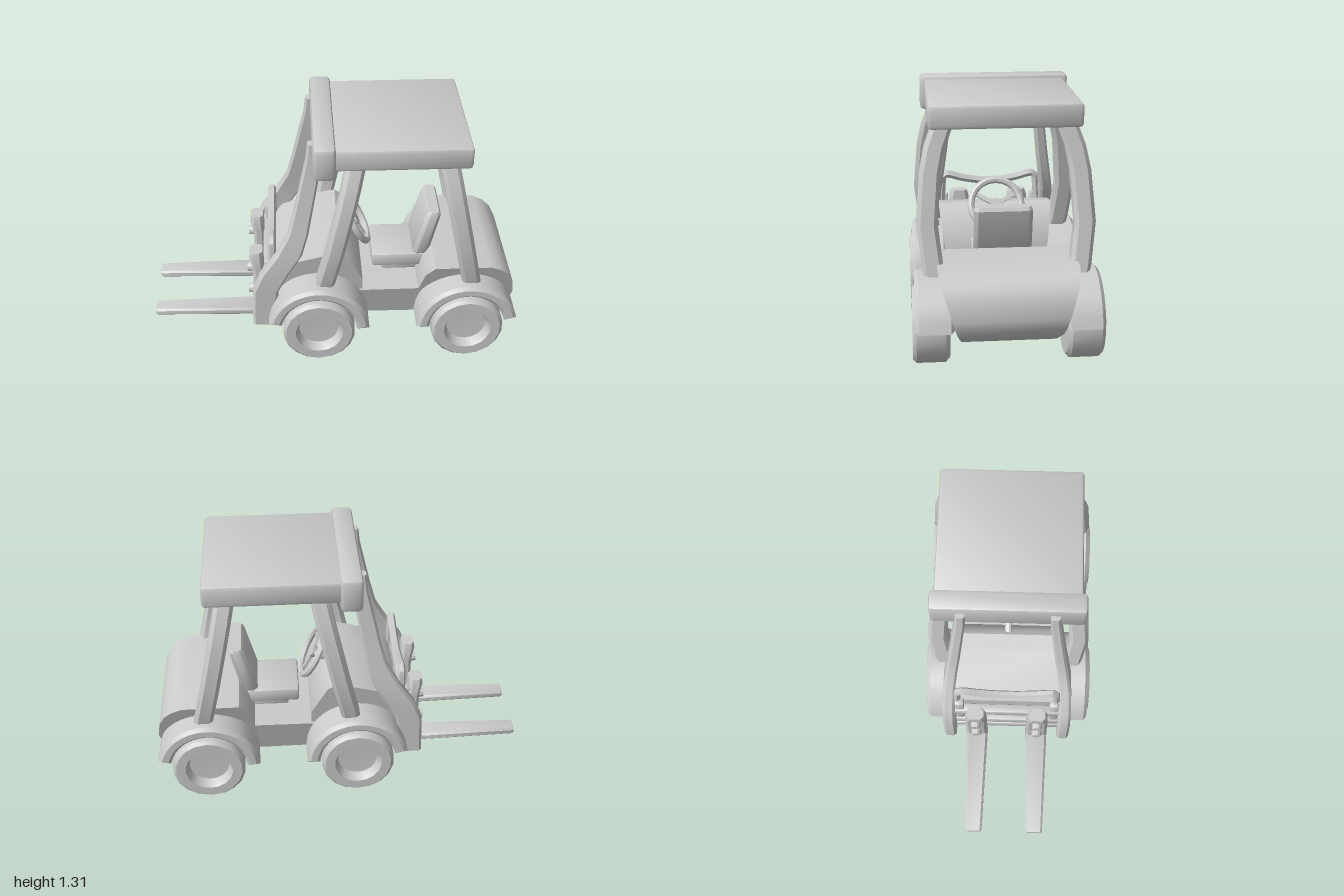
import * as THREE from 'three';
import { toCreasedNormals } from 'three/addons/utils/BufferGeometryUtils.js';
import { RoundedBoxGeometry } from 'three/addons/geometries/RoundedBoxGeometry.js';

const grey = new THREE.MeshStandardMaterial({ color: 0xcccccc });

function part(parent, name, geo, x = 0, y = 0, z = 0) {
  const mesh = new THREE.Mesh(toCreasedNormals(geo, 0.6), grey);
  mesh.name = name;
  mesh.position.set(x, y, z);
  parent.add(mesh);
  return mesh;
}

// Box with chamfered edges, given by its limits
function box(parent, name, x0, x1, y0, y1, z0, z1, bevel = 0.015) {
  const geo = new RoundedBoxGeometry(x1 - x0, y1 - y0, z1 - z0, 1, bevel);
  return part(parent, name, geo, (x0 + x1) / 2, (y0 + y1) / 2, (z0 + z1) / 2);
}

// Bar through sections [x, y, z, a, b]; its chamfered outline lies across the
// 'y' axis (a along x, b along z) or the 'x' axis (a along y, b along z)
function loft(sections, axis = 'y', side = 1, bevel = 0.25) {
  const pos = [], idx = [];
  for (const [x, y, z, a, b] of sections) {
    const c = Math.min(a, b) * bevel, u = a / 2, v = b / 2;
    const ring = [[u, v - c], [u - c, v], [c - u, v], [-u, v - c],
      [-u, c - v], [c - u, -v], [u - c, -v], [u, c - v]];
    for (const [p, q] of ring) {
      pos.push(...(axis === 'y' ? [x + p, y, (z + q) * side] : [x, y + p, (z + q) * side]));
    }
  }
  const flip = (axis === 'x') !== (side < 0);
  const tri = (a, b, c) => (flip ? idx.push(a, c, b) : idx.push(a, b, c));
  const last = (sections.length - 1) * 8;
  for (let k = 0; k < last; k += 8) {
    for (let i = 0; i < 8; i++) {
      const j = (i + 1) % 8;
      tri(k + i, k + 8 + i, k + j);
      tri(k + j, k + 8 + i, k + 8 + j);
    }
  }
  for (let i = 1; i < 7; i++) {
    tri(0, i, i + 1);
    tri(last, last + i + 1, last + i);
  }
  const geo = new THREE.BufferGeometry();
  geo.setAttribute('position', new THREE.Float32BufferAttribute(pos, 3));
  geo.setIndex(idx);
  return geo;
}

// Side profile extruded across z, with half width depending on height
function hull(profile, halfWidth) {
  const shape = new THREE.Shape(profile.map(p => new THREE.Vector2(...p)));
  const geo = new THREE.ExtrudeGeometry(shape, { depth: 2, bevelEnabled: false });
  geo.translate(0, 0, -1);
  const p = geo.attributes.position;
  for (let i = 0; i < p.count; i++) p.setZ(i, p.getZ(i) * halfWidth(p.getY(i)));
  return geo;
}

function wheelGeometry(side) {
  const profile = [[0, 0], [0.175, 0], [0.197, 0.02], [0.197, 0.165], [0.18, 0.183],
    [0.128, 0.183], [0.118, 0.165], [0.108, 0.13], [0, 0.125]];
  const geo = new THREE.LatheGeometry(profile.map(p => new THREE.Vector2(...p)), 18);
  return geo.rotateX(side * Math.PI / 2);
}

// Arched mudguard; a0..a1 are its end angles
function fenderGeometry(a0, a1) {
  const b = 0.018, shape = new THREE.Shape();
  shape.absarc(0, 0, 0.275 - b, a0, a1, false);
  shape.absarc(0, 0, 0.205 + b, a1, a0, true);
  shape.closePath();
  return new THREE.ExtrudeGeometry(shape, {
    depth: 0.19 - 2 * b, bevelSize: b, bevelThickness: b, bevelSegments: 1, curveSegments: 9
  }).translate(0, 0, 0.27 + b - 0.365);
}

export function createModel() {
  const g = new THREE.Group();
  g.name = 'forklift';

  // Body
  part(g, 'floor', hull([[-0.31, 0.155], [0.65, 0.15], [0.65, 0.35], [-0.31, 0.34]],
    y => 0.24 + (y - 0.15) * 0.25));
  part(g, 'rearBody', hull([[0.45, 0.15], [0.86, 0.15], [0.965, 0.22], [0.99, 0.26], [1, 0.31],
    [0.985, 0.4], [0.955, 0.46], [0.91, 0.5], [0.85, 0.525], [0.55, 0.525], [0.5, 0.47],
    [0.47, 0.35]], y => 0.235 + (y - 0.15) * 0.3));
  part(g, 'frontCowl', hull([[-0.33, 0.17], [0.16, 0.3], [0.16, 0.42], [0.07, 0.59], [0.03, 0.615],
    [-0.06, 0.6], [-0.27, 0.54], [-0.32, 0.48]], y => 0.25 + (y - 0.15) * 0.13));

  // Wheels and fenders
  for (const s of [1, -1]) {
    for (const [end, x] of [['front', -0.085], ['rear', 0.725]]) {
      part(g, end + 'Wheel', wheelGeometry(s), x, 0.2, s * 0.29);
      const geo = end === 'front' ? fenderGeometry(0.08, Math.PI - 0.25) : fenderGeometry(0.25, Math.PI - 0.08);
      part(g, end + 'Fender', geo, x, 0.2, s * 0.365);
    }
  }

  // Roof with its front crossbar
  box(g, 'roof', -0.02, 0.7, 1.178, 1.298, -0.378, 0.378, 0.018);
  box(g, 'roofCrossbar', -0.107, 0.007, 1.135, 1.318, -0.4, 0.4, 0.022);

  // Bowed cab posts: [height, centre z]
  const bow = [[0.4, 0.34], [0.5, 0.365], [0.71, 0.39], [0.96, 0.37], [1.08, 0.345], [1.2, 0.3]];
  for (const s of [1, -1]) {
    for (const [name, x0, x1] of [['frontPost', -0.065, 0.115], ['rearPost', 0.755, 0.585]]) {
      const sections = bow.map(([y, z]) => [x0 + (x1 - x0) * (y - 0.4) / 0.8, y, z, 0.1, 0.105]);
      part(g, name, loft(sections, 'y', s, 0.2));
    }
  }

  // Seat
  box(g, 'seatPedestal', 0.28, 0.48, 0.33, 0.42, -0.1, 0.1);
  box(g, 'seatCushion', 0.22, 0.53, 0.4, 0.48, -0.15, 0.15);
  part(g, 'seatBack', loft([[0.487, 0.475, 0, 0.07, 0.28], [0.493, 0.49, 0, 0.09, 0.298],
    [0.553, 0.73, 0, 0.08, 0.298], [0.556, 0.748, 0, 0.055, 0.28]]));

  // Steering wheel, tilted towards the driver
  const steering = new THREE.Group();
  steering.name = 'steeringWheel';
  steering.position.set(0.138, 0.63, 0);
  steering.rotation.set(0, Math.PI / 2, 0);
  const tilt = new THREE.Group();
  tilt.rotation.x = -0.49;
  steering.add(tilt);
  part(tilt, 'steeringRim', new THREE.TorusGeometry(0.138, 0.019, 8, 20));
  for (let i = 0; i < 3; i++) {
    const spoke = part(tilt, 'steeringSpoke', new THREE.BoxGeometry(0.022, 0.13, 0.016).translate(0, 0.068, -0.01));
    spoke.rotation.z = Math.PI + i * Math.PI * 2 / 3;
  }
  part(tilt, 'steeringHub', new THREE.CylinderGeometry(0.035, 0.03, 0.035, 12).rotateX(Math.PI / 2), 0, 0, -0.012);
  part(tilt, 'steeringColumn', new THREE.CylinderGeometry(0.022, 0.022, 0.2, 10).rotateX(Math.PI / 2), 0, 0, -0.11);
  g.add(steering);

  // Mast rails sweeping up to the roof
  for (const s of [1, -1]) {
    part(g, 'mastRail', loft([[-0.385, 0.175, 0.325, 0.125, 0.07], [-0.37, 0.4, 0.325, 0.14, 0.07],
      [-0.32, 0.51, 0.325, 0.15, 0.07], [-0.24, 0.63, 0.318, 0.14, 0.065],
      [-0.19, 0.75, 0.3, 0.11, 0.062], [-0.163, 0.87, 0.283, 0.1, 0.06],
      [-0.1, 1.18, 0.245, 0.085, 0.055], [-0.095, 1.27, 0.24, 0.075, 0.05]], 'y', s, 0.2));
  }

  // Fork carriage
  for (const y of [0.21, 0.29, 0.44]) box(g, 'carriageCrossbar', -0.385, -0.335, y - 0.03, y + 0.03, -0.3, 0.3, 0.01);
  for (const s of [1, -1]) box(g, 'carriageUpright', -0.375, -0.33, 0.18, 0.56, s * 0.265 - 0.025, s * 0.265 + 0.025, 0.01);
  const guard = [[0.28, 0.48], [0.275, 0.6], [0.26, 0.675], [0.15, 0.655], [0.05, 0.64]];
  const guardPath = [...guard, ...guard.slice().reverse().map(([z, y]) => [-z, y])]
    .map(([z, y]) => new THREE.Vector3(-0.33, y, z));
  part(g, 'loadGuard', new THREE.TubeGeometry(new THREE.CatmullRomCurve3(guardPath, false, 'centripetal'), 40, 0.022, 6));

  // Forks with bolts
  for (const s of [1, -1]) {
    part(g, 'forkBlade', loft([[-1, 0.16, 0.172, 0.034, 0.08], [-0.99, 0.16, 0.172, 0.042, 0.092],
      [-0.39, 0.16, 0.172, 0.046, 0.125], [-0.38, 0.16, 0.172, 0.036, 0.115]], 'x', s));
    part(g, 'forkShank', loft([[-0.405, 0.14, 0.172, 0.05, 0.12], [-0.41, 0.25, 0.172, 0.06, 0.12],
      [-0.41, 0.45, 0.172, 0.06, 0.12], [-0.42, 0.53, 0.172, 0.075, 0.11],
      [-0.42, 0.56, 0.172, 0.07, 0.09]], 'y', s));
    for (const y of [0.29, 0.44]) {
      part(g, 'forkBolt', new THREE.CylinderGeometry(0.032, 0.025, 0.05, 10).rotateZ(-Math.PI / 2), -0.445, y, s * 0.172);
    }
  }
  return g;
}
